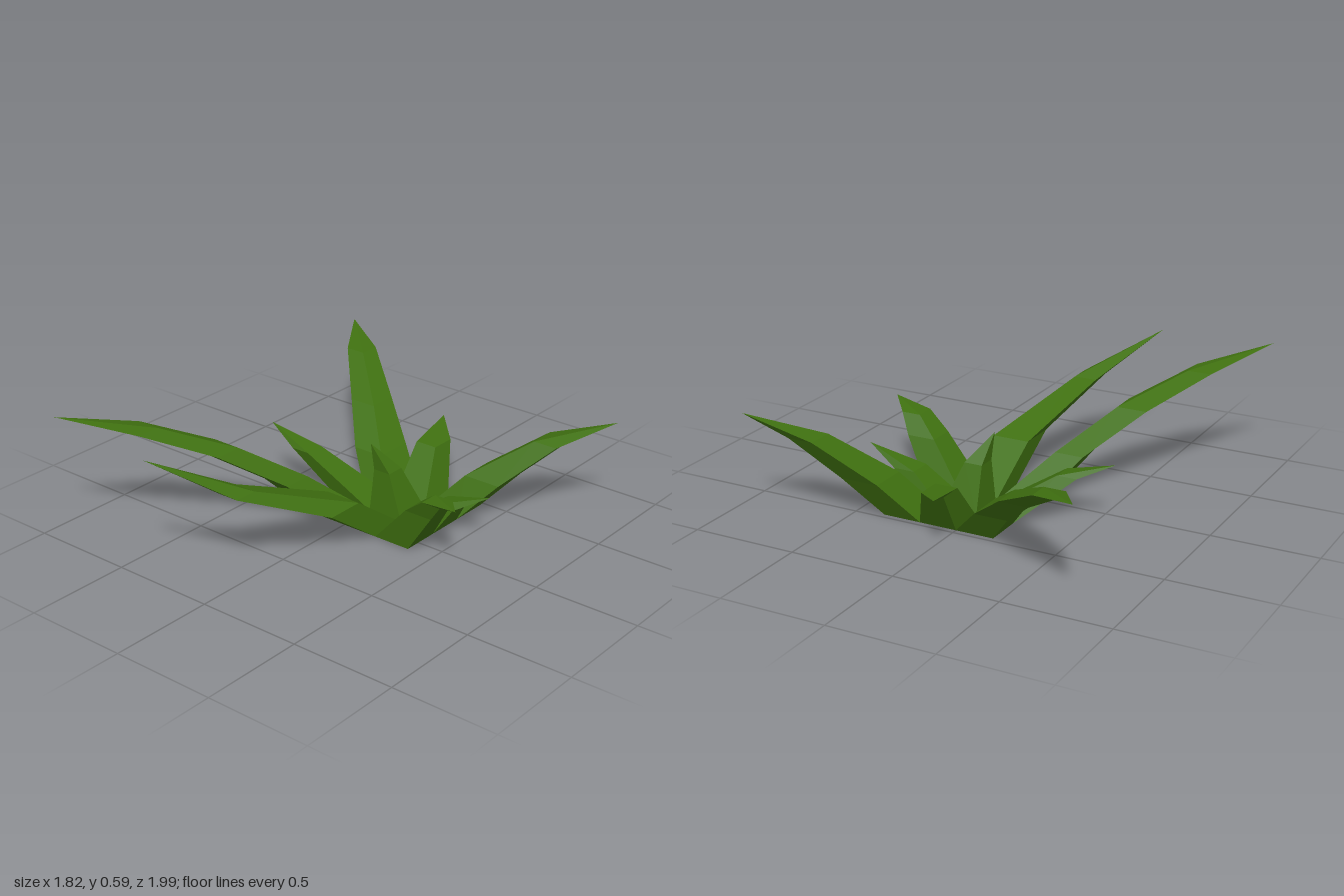
import * as THREE from 'three';

// Base tile edges: the plant grows from a 3 x 3 patch of square tiles
const XS = [-0.185, 0, 0.183, 0.367];
const ZS = [-0.473, -0.29, -0.108, 0.077];

// Each blade: tile column and row, level sections [y, x0, x1, z0, z1], tip [x, y, z]
const BLADES = [
  { name: 'frontRightBlade', tile: [0, 2], tip: [-0.91, 0.59, 0.965],
    levels: [[0.2, -0.33, -0.19, 0.11, 0.25], [0.375, -0.53, -0.385, 0.355, 0.49], [0.505, -0.73, -0.615, 0.63, 0.745]] },
  { name: 'frontBlade', tile: [1, 2], tip: [-0.335, 0.565, 0.99],
    levels: [[0.2, -0.02, 0.16, 0.17, 0.355], [0.38, -0.14, -0.03, 0.64, 0.75]] },
  { name: 'frontLeftBlade', tile: [2, 2], tip: [0.68, 0.32, 0.16],
    levels: [[0.205, 0.37, 0.51, -0.025, 0.105], [0.29, 0.48, 0.575, 0.035, 0.13]] },
  { name: 'rightBlade', tile: [0, 1], tip: [-0.59, 0.285, -0.1],
    levels: [[0.21, -0.43, -0.335, -0.16, -0.062]] },
  { name: 'centreBlade', tile: [1, 1], tip: [0, 0.34, -0.115],
    levels: [[0.21, 0.012, 0.1, -0.215, -0.125]] },
  { name: 'leftBlade', tile: [2, 1], tip: [0.6, 0.215, -0.21],
    levels: [[0.13, 0.345, 0.45, -0.25, -0.14]] },
  { name: 'backRightBlade', tile: [0, 0], tip: [-0.82, 0.485, -1],
    levels: [[0.14, -0.3, -0.14, -0.56, -0.37], [0.285, -0.47, -0.33, -0.69, -0.55], [0.43, -0.68, -0.58, -0.875, -0.775]] },
  { name: 'backBlade', tile: [1, 0], tip: [-0.05, 0.25, -0.745],
    levels: [[0.21, -0.02, 0.09, -0.61, -0.49]] },
  { name: 'backLeftBlade', tile: [2, 0], tip: [0.91, 0.48, -0.755],
    levels: [[0.18, 0.34, 0.525, -0.57, -0.385], [0.37, 0.6, 0.72, -0.68, -0.55]] },
];

// Loft the square sections from the tile up to the tip
function bladeGeometry({ tile: [c, r], levels, tip }) {
  const sections = [[0, XS[c], XS[c + 1], ZS[r], ZS[r + 1]], ...levels];
  const points = [];
  for (const [y, x0, x1, z0, z1] of sections) {
    points.push(x0, y, z0, x1, y, z0, x1, y, z1, x0, y, z1);
  }
  points.push(...tip);

  const index = [0, 1, 2, 0, 2, 3]; // underside
  const last = sections.length - 1;
  for (let s = 0; s <= last; s++) {
    for (let i = 0; i < 4; i++) {
      const a = s * 4 + i;
      const b = s * 4 + (i + 1) % 4;
      if (s < last) index.push(a, a + 4, b + 4, a, b + 4, b);
      else index.push(a, (last + 1) * 4, b);
    }
  }
  const indexed = new THREE.BufferGeometry();
  indexed.setAttribute('position', new THREE.Float32BufferAttribute(points, 3));
  indexed.setIndex(index);
  const geometry = indexed.toNonIndexed();
  geometry.computeVertexNormals(); // one normal per facet
  return geometry;
}

export function createModel() {
  const plant = new THREE.Group();
  plant.name = 'grassTuft';
  const leafGreen = new THREE.MeshStandardMaterial({ color: 0x3f7010 });
  leafGreen.name = 'leafGreen';
  leafGreen.flatShading = true;

  for (const blade of BLADES) {
    const mesh = new THREE.Mesh(bladeGeometry(blade), leafGreen);
    mesh.name = blade.name;
    plant.add(mesh);
  }
  return plant;
}
